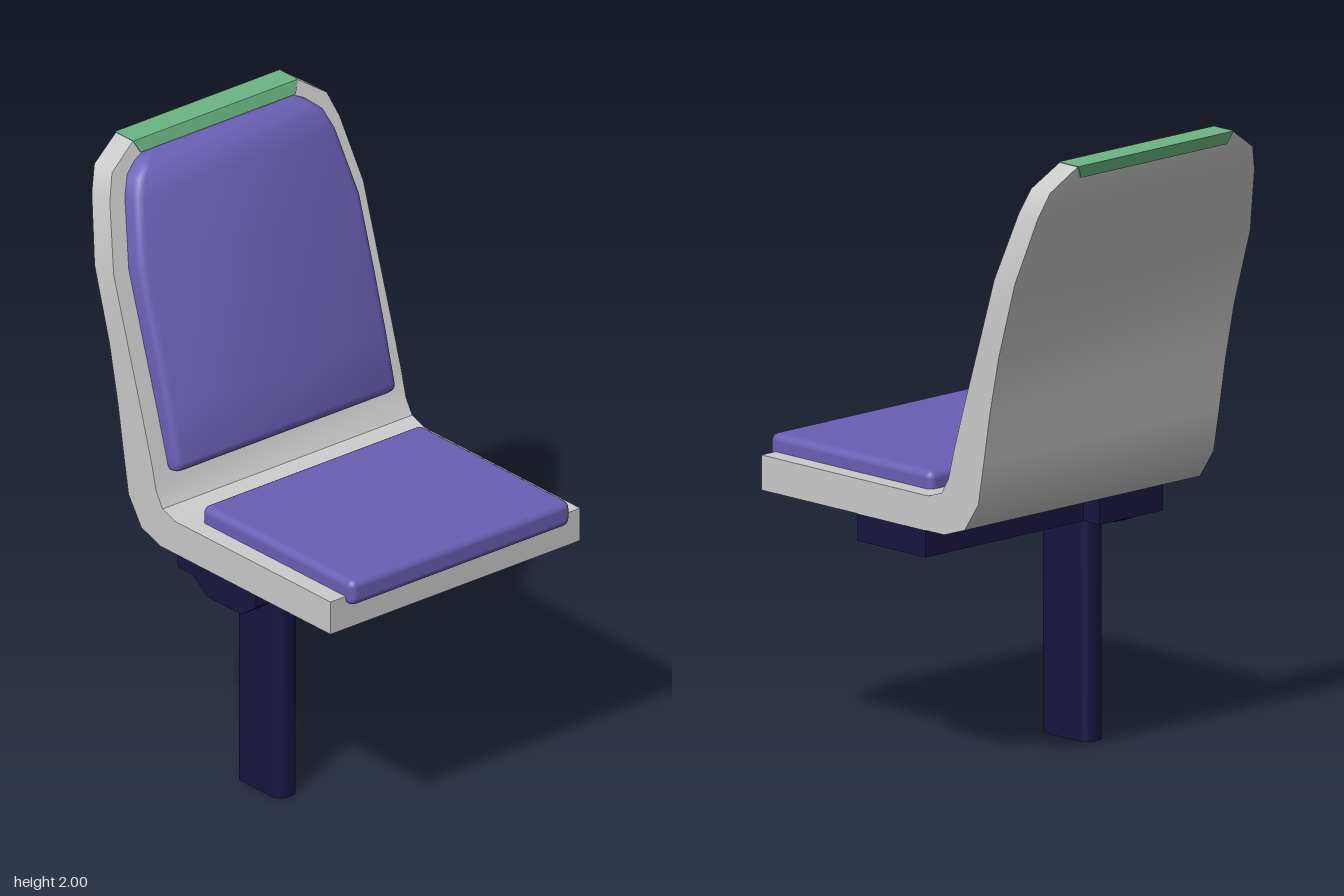
import * as THREE from 'three';
import { toCreasedNormals } from 'three/addons/utils/BufferGeometryUtils.js';
import { RoundedBoxGeometry } from 'three/addons/geometries/RoundedBoxGeometry.js';

const mat = (color) => new THREE.MeshStandardMaterial({ color });

// Skin a list of equal-length rings (counter-clockwise seen from the end cap)
function loft(rings, crease = 0.7) {
  const n = rings[0].length;
  const index = [];
  for (let i = 0; i < rings.length - 1; i++) {
    for (let j = 0; j < n; j++) {
      const a = i * n + j, b = i * n + (j + 1) % n;
      index.push(a, b, b + n, a, b + n, a + n);
    }
  }
  const last = (rings.length - 1) * n;
  for (let j = 1; j < n - 1; j++) {
    index.push(0, j + 1, j, last, last + j, last + j + 1);
  }
  const geo = new THREE.BufferGeometry();
  geo.setAttribute('position', new THREE.Float32BufferAttribute(rings.flat(2), 3));
  geo.setIndex(index);
  return toCreasedNormals(geo, crease);
}

// Four-cornered ring of a slab: half width, front (z, y) and back (z, y)
const slab = ([w, fz, fy, bz, by]) =>
  [[w, fy, fz], [w, by, bz], [-w, by, bz], [-w, fy, fz]];

export function createModel() {
  const group = new THREE.Group();
  const purple = mat(0x6a5fb5), navy = mat(0x17153f), green = mat(0x6cb583), grey = mat(0xcccccc);
  const add = (name, geo, material, x = 0, y = 0, z = 0) => {
    const mesh = new THREE.Mesh(geo, material);
    mesh.name = name;
    mesh.position.set(x, y, z);
    group.add(mesh);
    return mesh;
  };

  // One-piece shell running from the seat front up to the backrest top
  add('seatShell', loft([
    [0.5, 0.59, 0.91, 0.59, 0.80],
    [0.5, -0.14, 0.91, -0.21, 0.80],
    [0.5, -0.20, 0.93, -0.30, 0.83],
    [0.5, -0.23, 0.98, -0.36, 0.92],
    [0.5, -0.25, 1.06, -0.385, 1.06],
    [0.5, -0.295, 1.21, -0.41, 1.21],
    [0.5, -0.355, 1.40, -0.45, 1.40],
    [0.5, -0.43, 1.64, -0.52, 1.64],
    [0.46, -0.495, 1.85, -0.58, 1.85],
    [0.43, -0.52, 1.93, -0.603, 1.93],
    [0.33, -0.54, 1.998, -0.62, 1.998],
  ].map(slab)), grey);

  // Grip strip capping the backrest
  add('topGrip', loft([
    [0.31, -0.525, 1.96, -0.614, 1.96],
    [0.33, -0.537, 2.0, -0.624, 2.0],
  ].map(slab)), green);

  // Seat cushion
  add('seatCushion', new RoundedBoxGeometry(0.88, 0.085, 0.71, 3, 0.025), purple, 0, 0.9225, 0.265);

  // Back cushion: [height, half width, thickness], leaning with the shell
  const backRing = ([y, w, t]) => {
    const back = -0.24 - 0.308 * (y - 1.03), front = back + t;
    const half = [[w, t * 0.6], [w - 0.006, t * 0.85], [w - 0.025, t]];
    return [
      [w, y, back - 0.015], [-w, y, back - 0.015],
      ...half.map(([x, d]) => [-x, y, back + d]),
      ...half.reverse().map(([x, d]) => [x, y, front - t + d]),
    ];
  };
  add('backCushion', loft([
    [1.03, 0.435, 0.03], [1.04, 0.44, 0.042], [1.06, 0.44, 0.05],
    [1.22, 0.44, 0.06], [1.40, 0.44, 0.064], [1.64, 0.44, 0.064],
    [1.85, 0.40, 0.061], [1.91, 0.375, 0.056], [1.94, 0.34, 0.042],
    [1.957, 0.305, 0.02],
  ].map(backRing), 0.9), purple);

  // Support beam with a rear block over the leg
  add('supportBeam', new THREE.BoxGeometry(0.94, 0.085, 0.30), navy, 0.03, 0.7575, 0.02);
  add('rearBlock', new THREE.BoxGeometry(0.27, 0.085, 0.08), navy, -0.305, 0.7575, -0.16);

  // Tapered bracket under the beam end
  add('endBracket', loft([
    [-0.06, 0.665, 0.10], [-0.13, 0.715, 0.17], [-0.13, 0.73, 0.17],
  ].map(([b, y, f]) => [[-0.37, y, f], [-0.37, y, b], [-0.44, y, b], [-0.44, y, f]]), 0.3), navy);

  // Flat leg with rounded front and rear edges
  const r = 0.035, hw = 0.0425, hd = 0.105;
  const s = new THREE.Shape();
  s.absarc(hw - r, hd - r, r, 0, Math.PI / 2);
  s.absarc(r - hw, hd - r, r, Math.PI / 2, Math.PI);
  s.absarc(r - hw, r - hd, r, Math.PI, Math.PI * 1.5);
  s.absarc(hw - r, r - hd, r, Math.PI * 1.5, Math.PI * 2);
  const leg = new THREE.ExtrudeGeometry(s, { depth: 0.72, bevelEnabled: false, curveSegments: 5 });
  leg.rotateX(-Math.PI / 2);
  add('leg', toCreasedNormals(leg, 0.6), navy, -0.2675, 0, 0.02);

  return group;
}
